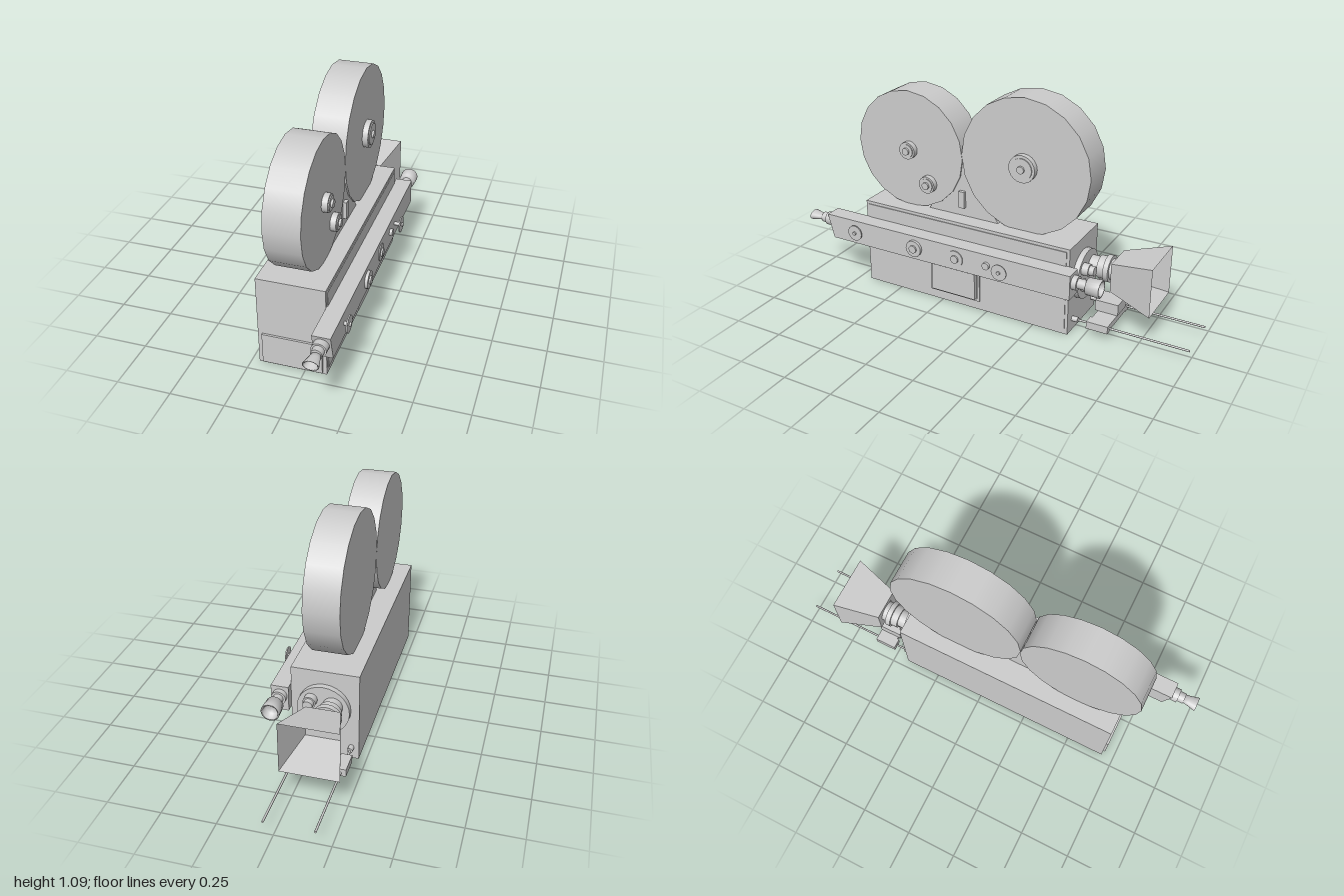
import * as THREE from 'three';

const mat = new THREE.MeshStandardMaterial({ color: 0xcccccc });
const flat = new THREE.MeshStandardMaterial({ color: 0xcccccc, flatShading: true, side: THREE.DoubleSide });
const smoothOpen = new THREE.MeshStandardMaterial({ color: 0xcccccc, side: THREE.DoubleSide });

export function createModel() {
  const root = new THREE.Group();

  const add = (name, geo, material = mat, parent = root) => {
    const m = new THREE.Mesh(geo, material);
    m.name = name;
    parent.add(m);
    return m;
  };
  // box given by its extents
  const box = (name, x0, x1, y0, y1, z0, z1) =>
    add(name, new THREE.BoxGeometry(x1 - x0, y1 - y0, z1 - z0)
      .translate((x0 + x1) / 2, (y0 + y1) / 2, (z0 + z1) / 2));
  // disc or drum along x
  const cylX = (name, x0, x1, y, z, r, seg = 20) =>
    add(name, new THREE.CylinderGeometry(r, r, x1 - x0, seg)
      .rotateZ(-Math.PI / 2).translate((x0 + x1) / 2, y, z));
  // barrel along z, radius r0 at z0 and r1 at z1 (z1 > z0)
  const cylZ = (name, x, y, z0, z1, r0, r1 = r0, seg = 20) =>
    add(name, new THREE.CylinderGeometry(r1, r0, z1 - z0, seg)
      .rotateX(Math.PI / 2).translate(x, y, (z0 + z1) / 2));
  // outline in (z, y), extruded from x0 to x1
  const profileX = (name, pts, x0, x1) => {
    const shape = new THREE.Shape(pts.map(([z, y]) => new THREE.Vector2(-z, y)));
    const geo = new THREE.ExtrudeGeometry(shape, { depth: x1 - x0, bevelEnabled: false });
    return add(name, geo.rotateY(Math.PI / 2).translate(x0, 0, 0));
  };
  // rectangular frame on the side, outer extents in z and y with a border
  const sideFrame = (name, x0, x1, y0, y1, z0, z1, b) => {
    const rect = (C, d) => new C([[-z1 + d, y0 + d], [-z0 - d, y0 + d], [-z0 - d, y1 - d], [-z1 + d, y1 - d]]
      .map(p => new THREE.Vector2(...p)));
    const shape = rect(THREE.Shape, 0);
    shape.holes.push(rect(THREE.Path, b));
    const geo = new THREE.ExtrudeGeometry(shape, { depth: x1 - x0, bevelEnabled: false });
    return add(name, geo.rotateY(Math.PI / 2).translate(x0, 0, 0));
  };

  // camera body with door and panels
  box('body', -0.215, 0.1, 0, 0.445, -0.43, 0.69);
  box('frontPanel', -0.195, 0.082, 0.01, 0.16, 0.69, 0.7);
  box('sideDoor', 0.1, 0.104, 0.03, 0.43, -0.415, 0.675);
  sideFrame('hatchFrame', 0.104, 0.112, 0.05, 0.21, 0.035, 0.31, 0.012);
  box('hatch', 0.104, 0.125, 0.062, 0.2, 0.055, 0.295);

  // film magazines and the throat between them
  cylX('frontMagazine', -0.14, 0.025, 0.735, 0.467, 0.295);
  cylX('rearMagazine', -0.14, 0.025, 0.763, -0.155, 0.33);
  profileX('magazineThroat', [[0.37, 0.44], [-0.02, 0.44], [0.175, 0.73]], -0.1, 0.018);
  box('throatLatch', 0.018, 0.035, 0.49, 0.575, 0.16, 0.19);

  // magazine hubs
  for (const [y, z, r] of [[0.735, 0.467, 0.043], [0.577, 0.36, 0.043], [0.763, -0.155, 0.067]]) {
    cylX('hub', 0.025, 0.052, y, z, r);
    cylX('hubRim', 0.052, 0.057, y, z, r * 0.8);
    cylX('hubPin', 0.057, 0.067, y, z, 0.018, 16);
  }

  // side viewfinder with a raked front end
  profileX('viewfinder', [[0.845, 0.237], [-0.47, 0.237], [-0.47, 0.36], [0.877, 0.36]], 0.1, 0.182);

  // viewfinder dials
  for (const z of [0.355, 0.125]) {
    const out = z > 0.2 ? 0.196 : 0.187;
    cylX('dial', 0.182, out, 0.297, z, 0.042);
    cylX('dialCentre', out, out + 0.008, 0.297, z, 0.02, 16);
  }
  cylX('smallKnob', 0.182, 0.196, 0.305, -0.045, 0.018, 16);
  for (const [z, x] of [[0.695, 0.2], [-0.128, 0.212]]) {
    cylX('knobStem', 0.182, x + 0.014, 0.305, z, 0.009, 12);
    cylX('knobDisc', x, x + 0.006, 0.305, z, 0.04);
  }

  // eyepiece with a flattened, flared cup
  cylZ('eyepieceBase', 0.14, 0.315, 0.85, 0.905, 0.034);
  cylZ('eyepieceTube', 0.14, 0.315, 0.905, 0.935, 0.026);
  const cup = add('eyeCup', new THREE.LatheGeometry(
    [[0, 0], [0.022, 0], [0.025, 0.025], [0.036, 0.07], [0.03, 0.07], [0.014, 0.02], [0, 0.018]]
      .map(p => new THREE.Vector2(...p)), 20).rotateX(Math.PI / 2), smoothOpen);
  cup.scale.y = 0.65;
  cup.position.set(0.14, 0.315, 0.93);

  // viewfinder objective
  cylZ('objectiveTube', 0.14, 0.312, -0.545, -0.47, 0.024);
  cylZ('objectiveCollar', 0.14, 0.312, -0.495, -0.47, 0.034);
  const hood = add('objectiveHood', new THREE.LatheGeometry(
    [[0, 0], [0.04, 0], [0.043, 0.065], [0.034, 0.065], [0.03, 0.03], [0, 0.03]]
      .map(p => new THREE.Vector2(...p)), 20).rotateX(-Math.PI / 2), smoothOpen);
  hood.position.set(0.14, 0.312, -0.54);

  // lens turret: disc, two short lenses and the main lens
  cylZ('turret', -0.055, 0.258, -0.457, -0.43, 0.122, 0.122, 28);
  for (const [x, y] of [[0, 0.31], [0, 0.225]]) {
    cylZ('shortLens', x, y, -0.49, -0.457, 0.03);
    cylZ('shortLensBarrel', x, y, -0.515, -0.49, 0.023);
  }
  cylZ('mainLensBase', -0.1, 0.288, -0.5, -0.457, 0.046);
  cylZ('mainLensBarrel', -0.1, 0.288, -0.54, -0.5, 0.055);
  cylZ('mainLensRing', -0.1, 0.288, -0.56, -0.535, 0.065);
  cylZ('mainLensTip', -0.1, 0.288, -0.59, -0.56, 0.05);

  // matte box: open rectangular funnel widening to the rear
  const funnel = new THREE.CylinderGeometry(0.078, 0.134, 0.215, 4, 1, true, Math.PI / 4);
  funnel.scale(Math.SQRT2, 1, Math.SQRT2).rotateX(Math.PI / 2).scale(1, 0.915, 1);
  add('matteBox', funnel, flat).position.set(-0.094, 0.288, -0.6925);
  sideFrame('matteBoxBack', -0.005, 0.005, -0.071, 0.071, -0.078, 0.078, 0.035)
    .rotateY(Math.PI / 2).position.set(-0.094, 0.288, -0.59);

  // support rods and the bracket carrying the matte box
  for (const x of [-0.18, 0.045]) {
    cylZ('rod', x, 0.06, -1, -0.42, 0.005, 0.005, 10);
    cylZ('rodSocket', x, 0.06, -0.46, -0.43, 0.013, 0.013, 14);
    box('rodClamp', x - 0.025, x + 0.025, 0.043, 0.08, -0.617, -0.51);
  }
  box('bracketBar', -0.2, 0.068, 0.05, 0.08, -0.617, -0.52);
  box('bracketBlock', -0.145, -0.045, 0.08, 0.135, -0.62, -0.505);
  box('bracketPost', -0.125, -0.065, 0.13, 0.25, -0.511, -0.505);

  return root;
}
